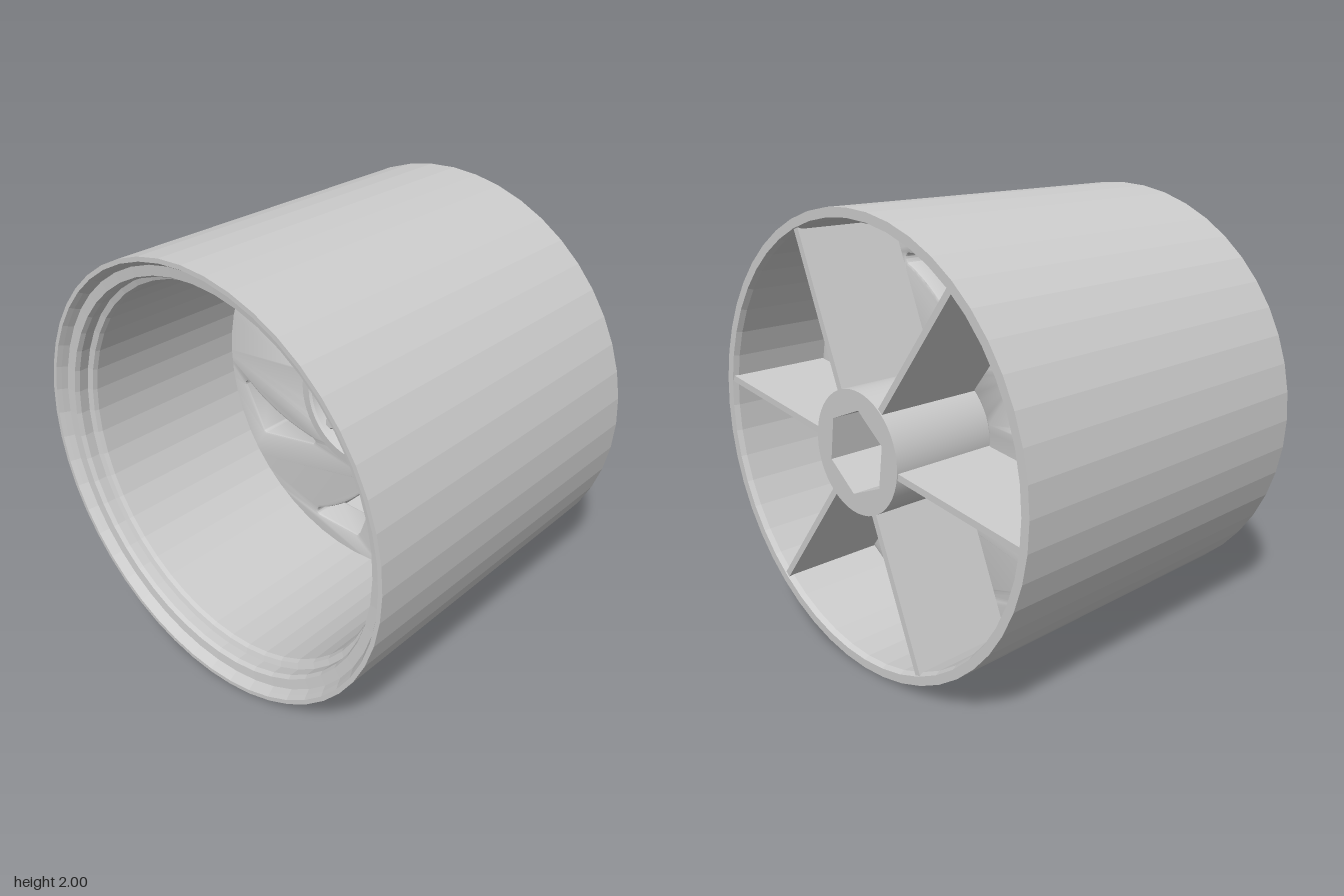
import * as THREE from 'three';
import { toCreasedNormals } from 'three/addons/utils/BufferGeometryUtils.js';

const SIXTH = Math.PI / 3;
const RIB_ANGLE = THREE.MathUtils.degToRad(8);
const BACK = -0.835, FRONT = 0.835;        // barrel ends
const DISC_BACK = -0.335, DISC_FRONT = -0.155;

const material = new THREE.MeshStandardMaterial({ color: 0xcccccc });
const flat = new THREE.MeshStandardMaterial({ color: 0xcccccc, flatShading: true });

function addMesh(parent, name, geometry, mat = material) {
  const mesh = new THREE.Mesh(geometry, mat);
  mesh.name = name;
  parent.add(mesh);
  return mesh;
}

// Revolves [radius, z] pairs about the z axis
function latheZ(points, segments) {
  const g = new THREE.LatheGeometry(points.map(([r, z]) => new THREE.Vector2(r, z)), segments);
  return g.rotateX(Math.PI / 2);
}

function circle(radius, Type = THREE.Shape) {
  const c = new Type();
  c.absarc(0, 0, radius, 0, Math.PI * 2, false);
  return c;
}

// Swept triangular opening with rounded tips, turned about the centre
function windowPath(angle) {
  const p = (x, y) => {
    const v = new THREE.Vector2(x, y).rotateAround(new THREE.Vector2(), angle);
    return [v.x, v.y];
  };
  const path = new THREE.Path();
  path.moveTo(...p(-0.015, 0.76));
  path.lineTo(...p(0.245, 0.757));
  path.quadraticCurveTo(...p(0.285, 0.74), ...p(0.255, 0.695));
  path.quadraticCurveTo(...p(0.063, 0.61), ...p(-0.11, 0.385));
  path.quadraticCurveTo(...p(-0.15, 0.365), ...p(-0.155, 0.41));
  path.lineTo(...p(-0.045, 0.735));
  path.quadraticCurveTo(...p(-0.035, 0.76), ...p(-0.015, 0.76));
  return path;
}

export function createModel() {
  const model = new THREE.Group();
  model.name = 'wheel';

  // Wide barrel with stepped front lip
  addMesh(model, 'barrel', latheZ([
    [0.96, BACK], [1, BACK], [1, FRONT], [0.98, FRONT], [0.968, 0.815],
    [0.955, 0.79], [0.91, 0.785], [0.9, 0.765], [0.9, 0.72], [0.875, 0.71],
    [0.867, 0.69], [0.86, -0.25], [0.95, -0.25], [0.95, -0.81], [0.96, BACK],
  ], 48), flat);

  // Face disc with six swept windows
  const face = circle(0.94);
  face.holes.push(circle(0.28, THREE.Path));
  for (let i = 0; i < 6; i++) face.holes.push(windowPath(i * SIXTH));
  const bevel = 0.012;
  const discGeo = new THREE.ExtrudeGeometry(face, {
    depth: DISC_FRONT - DISC_BACK - 2 * bevel, curveSegments: 24,
    bevelEnabled: true, bevelSize: bevel, bevelThickness: bevel, bevelSegments: 2,
  });
  discGeo.translate(0, 0, DISC_BACK + bevel);
  addMesh(model, 'faceDisc', toCreasedNormals(discGeo, 0.5));

  // Raised ring and recessed bolt plate with a centre bore
  addMesh(model, 'hubPlate', toCreasedNormals(latheZ([
    [0.07, -0.31], [0.27, -0.31], [0.335, -0.2], [0.335, -0.15], [0.325, -0.13],
    [0.28, -0.125], [0.268, -0.135], [0.26, -0.18], [0.07, -0.18], [0.07, -0.31],
  ], 48), 0.5));

  // Hexagonal bolts on washers
  const bolts = new THREE.Group();
  bolts.name = 'bolts';
  model.add(bolts);
  for (let i = 0; i < 8; i++) {
    const a = i * Math.PI / 4;
    const bolt = new THREE.Group();
    bolt.name = 'bolt';
    bolt.position.set(0.2 * Math.cos(a), 0.2 * Math.sin(a), -0.18);
    bolts.add(bolt);
    addMesh(bolt, 'washer', latheZ([[0.043, -0.01], [0.043, 0.012], [0, 0.012]], 16), flat);
    addMesh(bolt, 'boltHead', latheZ([[0.036, 0], [0.036, 0.045], [0.028, 0.055], [0, 0.055]], 6), flat);
  }

  // Rear hub tube with a hexagonal socket
  const tube = circle(0.27);
  const hex = [];
  for (let i = 0; i < 6; i++) {
    const a = RIB_ANGLE + (i + 0.5) * SIXTH;
    hex.push(new THREE.Vector2(0.19 * Math.cos(a), 0.19 * Math.sin(a)));
  }
  tube.holes.push(new THREE.Path(hex));
  const tubeGeo = new THREE.ExtrudeGeometry(tube, { depth: 0.6, bevelEnabled: false, curveSegments: 24 });
  tubeGeo.translate(0, 0, BACK);
  addMesh(model, 'hubTube', toCreasedNormals(tubeGeo, 0.5));

  // Six radial ribs between hub tube and barrel
  const ribDepth = DISC_BACK + 0.02 - (BACK + 0.005);
  const ribGeo = new THREE.BoxGeometry(0.71, 0.03, ribDepth);
  ribGeo.translate(0.61, 0, BACK + 0.005 + ribDepth / 2);
  for (let i = 0; i < 6; i++) {
    addMesh(model, 'rearRib', ribGeo).rotation.z = RIB_ANGLE + i * SIXTH;
  }

  // Stand the wheel on the ground
  for (const part of model.children) part.position.y += 1;
  return model;
}
